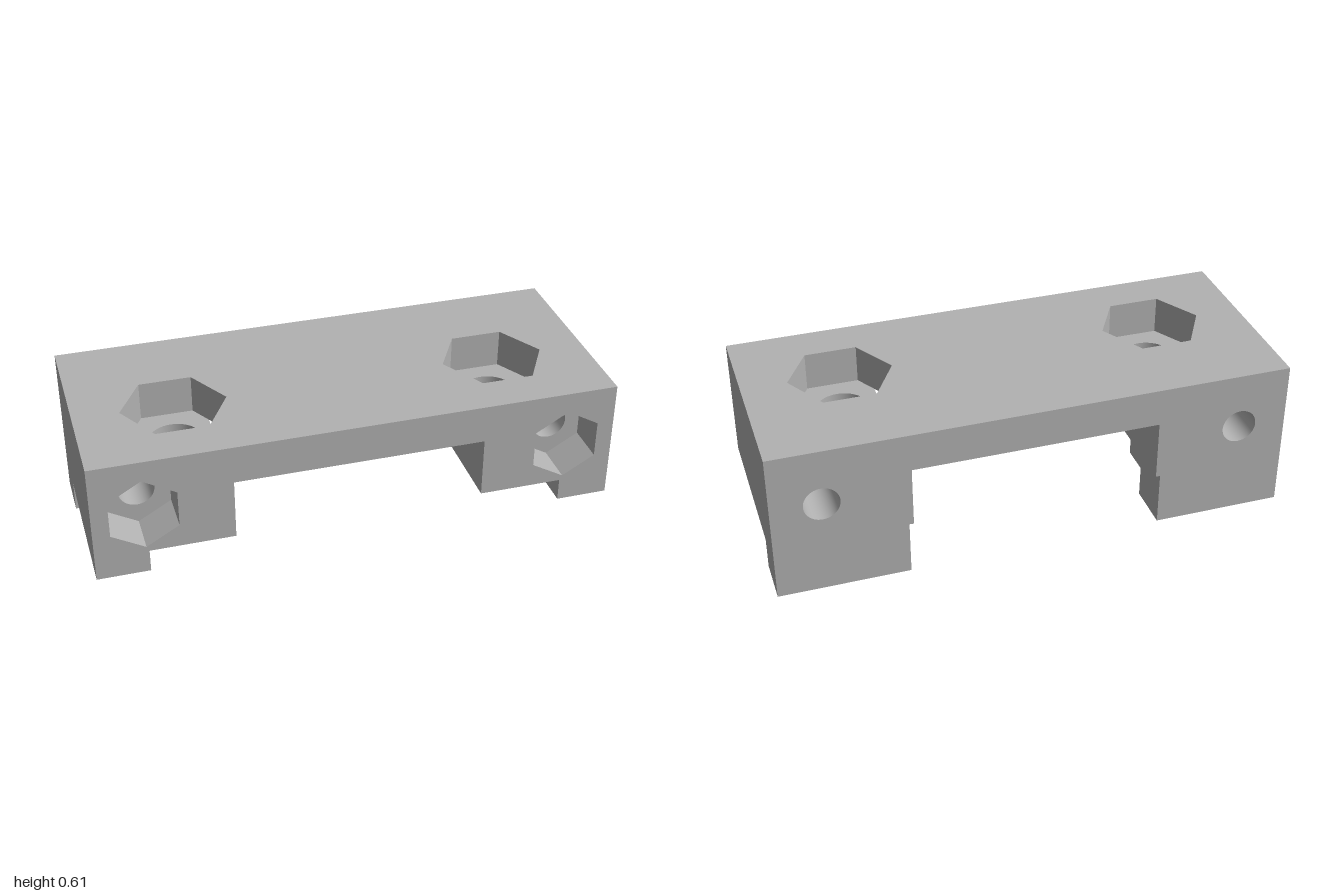
import * as THREE from 'three';

const H = 0.605, D = 0.405;              // height and half depth
const DECK = 0.455, STEP = 0.215, RAIL = 0.125;  // underside levels
const FOOT = -0.22;                      // front face of the rear feet
const IN = 0.478, INLOW = 0.495;         // inner walls, above and below the step
const BX = 0.625, BZ = 0.07, BR = 0.1, NR = 0.2;        // vertical bolt and nut
const SX = 0.81, SY = 0.38, SR = 0.068, SN = 0.145, SZ = 0.245; // horizontal screw and nut
const PR = 0.175;                        // pocket radius around the bolt

const grey = new THREE.MeshStandardMaterial({ color: 0xb2b2b2, side: THREE.DoubleSide });
grey.name = 'grey plastic';

const place = {
  x: (u, v, p) => [p, v, u],   // outline in z, y
  y: (u, v, p) => [u, p, v],   // outline in x, z
  z: (u, v, p) => [u, v, p],   // outline in x, y
};

const ring = (cx, cy, r, n, start = 0) => Array.from({ length: n }, (_, i) => {
  const a = start + (i / n) * Math.PI * 2;
  return [cx + r * Math.cos(a), cy + r * Math.sin(a)];
});
const mirror = half => [...half, ...half.map(([x, y]) => [-x, y]).reverse()];
const side = (s, pts) => pts.map(([x, y]) => [s * x, y]);
const rect = (u0, v0, u1, v1) => [[u0, v0], [u1, v0], [u1, v1], [u0, v1]];
const vec = pts => pts.map(([a, b]) => new THREE.Vector2(a, b));

export function createModel() {
  const model = new THREE.Group();
  model.name = 'mountingBracket';

  const add = (name, geometry) => {
    const mesh = new THREE.Mesh(geometry, grey);
    mesh.name = name;
    model.add(mesh);
  };

  // Flat face at a position on an axis, facing along dir (+1 or -1)
  function face(name, axis, pos, dir, outline, holes = []) {
    const shape = new THREE.Shape(vec(outline));
    holes.forEach(h => shape.holes.push(new THREE.Path(vec(h))));
    const g = new THREE.ShapeGeometry(shape);
    const p = g.attributes.position;
    for (let i = 0; i < p.count; i++) p.setXYZ(i, ...place[axis](p.getX(i), p.getY(i), pos));
    g.computeVertexNormals();
    const n = g.attributes.normal;
    if (new THREE.Vector3().fromBufferAttribute(n, 0)[axis] * dir < 0) {
      g.index.array.reverse();
      g.computeVertexNormals();
    }
    add(name, g);
  }

  // Inward-facing bore wall, round or hexagonal, standing on y
  function bore(r, length, sides) {
    let g = new THREE.CylinderGeometry(r, r, length, sides, 1, true);
    g.index.array.reverse();
    if (sides === 6) {
      g = g.toNonIndexed();
      g.computeVertexNormals();
    } else {
      const n = g.attributes.normal;
      for (let i = 0; i < n.count; i++) n.setXYZ(i, -n.getX(i), -n.getY(i), -n.getZ(i));
    }
    return g;
  }

  const topHex = s => ring(s * BX, BZ, NR, 6);
  const frontHex = s => ring(s * SX, SY, SN, 6, Math.PI / 2);
  const screwHole = s => ring(s * SX, SY, SR, 48);
  const both = f => [f(1), f(-1)];
  const tip = BX - NR;                       // nut recess tip breaking into the channel
  const notch = (IN - tip) * Math.sqrt(3);

  // Faces spanning the whole width
  face('topDeck', 'y', H, 1, rect(-1, -D, 1, D), both(topHex));
  face('backFace', 'z', -D, -1, mirror([[IN, DECK], [IN, STEP], [INLOW, STEP], [INLOW, 0], [1, 0], [1, H]]),
    both(screwHole));
  face('frontFace', 'z', D, 1, mirror([[IN, DECK], [IN, STEP], [BX + PR, STEP], [BX + PR, RAIL], [1, RAIL], [1, H]]),
    both(frontHex));
  face('channelCeiling', 'y', DECK, -1,
    mirror([[IN, -D], [IN, BZ - notch], [tip, BZ], [IN, BZ + notch], [IN, D]]));

  // Pocket edge: straight from the front, round the bolt, then inward
  const pocket = [[BX + PR, D]];
  for (let i = 0; i <= 16; i++) {
    const a = (i / 16) * Math.PI / 2;
    pocket.push([BX + PR * Math.cos(a), BZ - PR * Math.sin(a)]);
  }
  pocket.push([INLOW, BZ - PR]);

  for (const s of [1, -1]) {
    const tag = s > 0 ? 'left' : 'right';

    // Outer and inner walls
    face(tag + 'OuterWall', 'x', s, s, [[D, RAIL], [FOOT, RAIL], [FOOT, 0], [-D, 0], [-D, H], [D, H]]);
    face(tag + 'ChannelWall', 'x', s * IN, -s, rect(-D, STEP, D, DECK));
    face(tag + 'LowerInnerWall', 'x', s * INLOW, -s,
      [[-D, 0], [FOOT, 0], [FOOT, RAIL], [BZ - PR, RAIL], [BZ - PR, STEP], [-D, STEP]]);

    // Rear foot
    face(tag + 'FootFront', 'z', FOOT, 1, side(s, rect(INLOW, 0, 1, RAIL)));
    face(tag + 'FootSole', 'y', 0, -1, side(s, rect(INLOW, -D, 1, FOOT)));

    // Rail underside and the rounded pocket cut into it
    face(tag + 'RailUnderside', 'y', RAIL, -1, side(s, [[1, FOOT], [1, D], ...pocket, [INLOW, FOOT]]));
    face(tag + 'PocketCeiling', 'y', STEP, -1, side(s, [[IN, -D], [IN, D], ...pocket, [INLOW, -D]]),
      [ring(s * BX, BZ, BR, 48)]);
    const pos = [], idx = [];
    pocket.forEach(([x, z], i) => {
      pos.push(s * x, RAIL, z, s * x, STEP, z);
      if (i === 0) return;
      const a = 2 * i - 2, b = 2 * i;
      if (s > 0) idx.push(a, a + 1, b, b, a + 1, b + 1);
      else idx.push(a, b, a + 1, b, b + 1, a + 1);
    });
    const wall = new THREE.BufferGeometry();
    wall.setAttribute('position', new THREE.Float32BufferAttribute(pos, 3));
    wall.setIndex(idx);
    wall.computeVertexNormals();
    add(tag + 'PocketWall', wall);

    // Vertical nut recess and bolt hole
    add(tag + 'NutRecess', bore(NR, H - DECK, 6).rotateY(Math.PI / 2)
      .translate(s * BX, (H + DECK) / 2, BZ));
    const floor = ring(BX, BZ, NR, 6);
    floor.splice(3, 1, [IN, BZ + notch], [IN, BZ - notch]);
    face(tag + 'NutRecessFloor', 'y', DECK, 1, side(s, floor), [ring(s * BX, BZ, BR, 48)]);
    add(tag + 'BoltHole', bore(BR, DECK - STEP, 48).translate(s * BX, (DECK + STEP) / 2, BZ));

    // Horizontal nut recess and screw hole
    add(tag + 'FrontNutRecess', bore(SN, D - SZ, 6).rotateX(Math.PI / 2)
      .translate(s * SX, SY, (D + SZ) / 2));
    face(tag + 'FrontNutRecessFloor', 'z', SZ, 1, frontHex(s), [screwHole(s)]);
    add(tag + 'ScrewHole', bore(SR, SZ + D, 48).rotateX(Math.PI / 2)
      .translate(s * SX, SY, (SZ - D) / 2));
  }
  return model;
}
